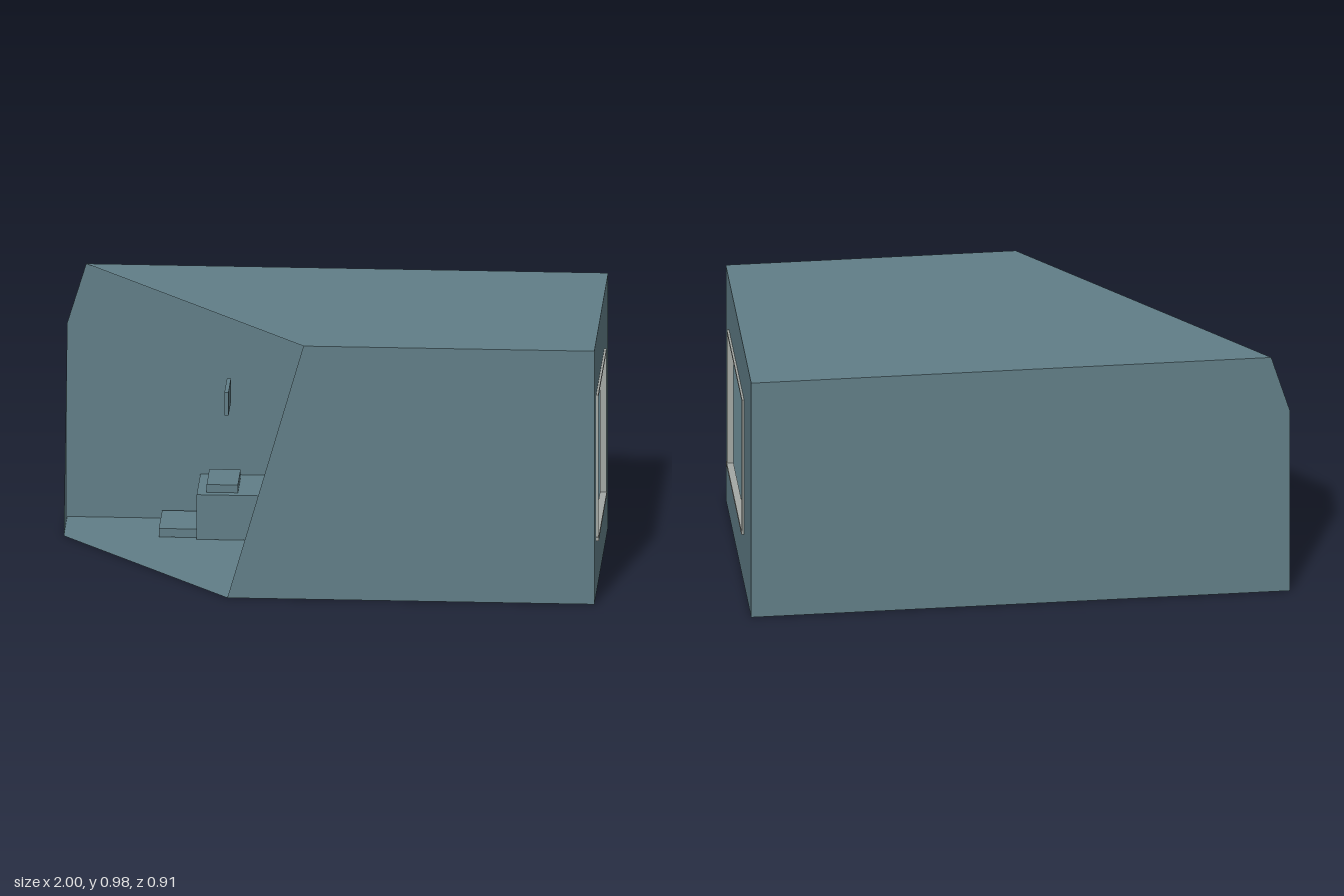
import * as THREE from 'three';

export function createModel() {
  const model = new THREE.Group();
  const plaster = new THREE.MeshStandardMaterial({ name: 'blue grey', color: 0x617e87, side: THREE.DoubleSide });
  const trim = new THREE.MeshStandardMaterial({ name: 'light grey trim', color: 0xa3a8a4 });

  const add = (name, geometry, material = plaster, parent = model) => {
    const mesh = new THREE.Mesh(geometry, material);
    mesh.name = name;
    parent.add(mesh);
    return mesh;
  };
  // Box given by its lower and upper corners
  const box = (name, a, b, material, parent) => {
    const mesh = add(name, new THREE.BoxGeometry(b[0] - a[0], b[1] - a[1], b[2] - a[2]), material, parent);
    mesh.position.set((a[0] + b[0]) / 2, (a[1] + b[1]) / 2, (a[2] + b[2]) / 2);
    return mesh;
  };
  // Flat wall panel: 2D outline placed in space by a mapping rule
  const panel = (name, outline, place, hole) => {
    const toPoints = (list) => list.map(([u, v]) => new THREE.Vector2(u, v));
    const shape = new THREE.Shape(toPoints(outline));
    if (hole) shape.holes.push(new THREE.Path(toPoints(hole)));
    const geometry = new THREE.ShapeGeometry(shape);
    const pos = geometry.attributes.position;
    for (let i = 0; i < pos.count; i++) pos.setXYZ(i, ...place(pos.getX(i), pos.getY(i)));
    geometry.computeVertexNormals();
    add(name, geometry);
  };

  // Room shell, with one corner sliced open by a slanted plane
  const H = 0.98, X = 0.99, Z = 0.455;
  panel('floor', [[-1, -Z], [X, -Z], [X, Z], [-0.36, Z], [-1, -0.23]], (u, v) => [u, 0, v]);
  panel('ceiling', [[-0.93, -Z], [X, -Z], [X, Z], [-0.08, Z]], (u, v) => [u, H, v]);
  panel('backWall', [[-1, 0], [X, 0], [X, H], [-0.93, H], [-1, 0.75]], (u, v) => [u, v, -Z]);
  panel('frontWall', [[-0.36, 0], [X, 0], [X, H], [-0.08, H]], (u, v) => [u, v, Z]);
  panel('rightEndWall', [[-Z, 0], [-0.23, 0], [-Z, 0.75]], (u, v) => [-1, v, u]);
  panel('windowWall', [[-Z, 0], [Z, 0], [Z, H], [-Z, H]], (u, v) => [X, v, u],
    [[-0.19, 0.22], [0.33, 0.22], [0.33, 0.762], [-0.19, 0.762]]);

  // Window frame and sill
  const frame = new THREE.Group();
  frame.name = 'windowFrame';
  model.add(frame);
  for (const z of [-0.2, 0.325]) box('frameSide', [0.975, 0.21, z], [0.998, 0.77, z + 0.015], trim, frame);
  box('frameTop', [0.975, 0.76, -0.2], [0.998, 0.772, 0.34], trim, frame);
  box('sill', [0.975, 0.208, -0.2], [1, 0.222, 0.342], trim, frame);

  // Pleated curtain: a gathered, zigzag sheet
  const curtain = new THREE.PlaneGeometry(0.11, 0.7, 16, 1).toNonIndexed();
  const cp = curtain.attributes.position;
  for (let i = 0; i < cp.count; i++) {
    const column = Math.round((cp.getX(i) / 0.11 + 0.5) * 16);
    cp.setZ(i, (column % 2 ? 0.022 : -0.022) + 0.006 * Math.sin(column * 1.7));
  }
  curtain.computeVertexNormals();
  curtain.rotateY(Math.PI / 2);
  add('curtain', curtain).position.set(0.88, 0.4, 0.26);

  // Standing figure by the window
  const figure = new THREE.Group();
  figure.name = 'figure';
  figure.position.set(0.88, 0, 0.07);
  model.add(figure);
  const lathe = (name, profile, sides) =>
    add(name, new THREE.LatheGeometry(profile.map(([r, y]) => new THREE.Vector2(r, y)), sides), plaster, figure);
  const torso = lathe('torso',
    [[0, 0.245], [0.055, 0.246], [0.06, 0.26], [0.061, 0.35], [0.058, 0.425], [0.048, 0.445], [0, 0.446]], 12);
  torso.scale.x = 0.65;
  for (const side of [-1, 1]) {
    const arm = lathe('arm',
      [[0, 0.2], [0.008, 0.205], [0.011, 0.25], [0.017, 0.33], [0.014, 0.42], [0.013, 0.443], [0, 0.452]], 8);
    arm.position.z = side * 0.073;
    const leg = lathe('leg', [[0, 0], [0.013, 0], [0.017, 0.13], [0.018, 0.25], [0, 0.25]], 8);
    leg.position.z = side * 0.026;
  }

  // Bed with pillow, low step at its end, and a thin wall screen
  box('bed', [-0.51, 0.002, -0.45], [0.06, 0.175, -0.21]);
  box('pillow', [-0.475, 0.175, -0.42], [-0.36, 0.205, -0.24]);
  box('step', [-0.65, 0.002, -0.44], [-0.51, 0.035, -0.23]);
  box('screen', [-0.405, 0.5, -0.32], [-0.39, 0.59, -0.16]);
  return model;
}
